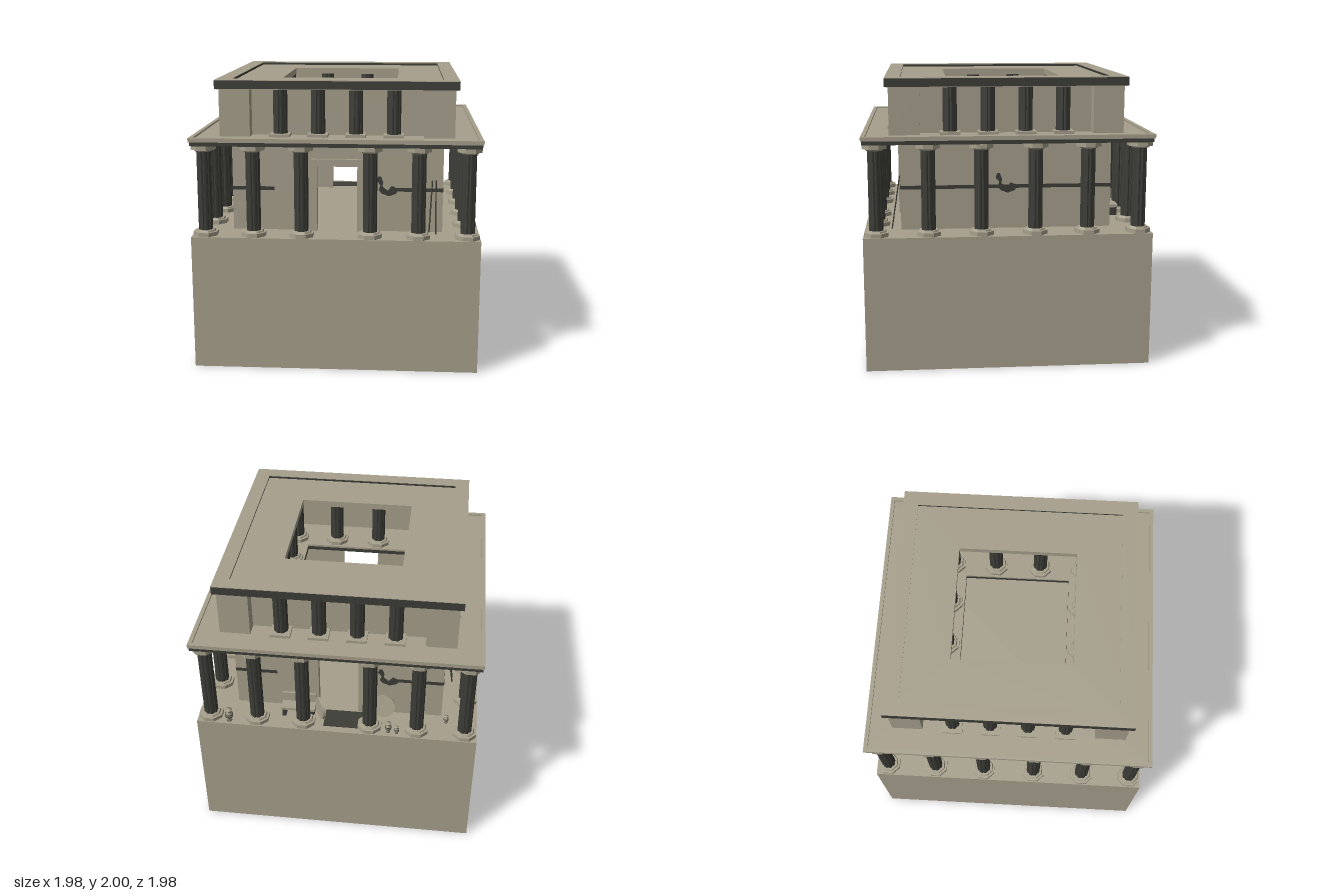
import * as THREE from 'three';

const stone = new THREE.MeshStandardMaterial({ color: 0xa69f8b });
stone.name = 'stone';
const dark = new THREE.MeshStandardMaterial({ color: 0x3c3d37 });
dark.name = 'darkPaint';

function add(parent, name, geo, mat, x = 0, y = 0, z = 0) {
  const m = new THREE.Mesh(geo, mat);
  m.name = name;
  m.position.set(x, y, z);
  parent.add(m);
  return m;
}

// box given by its centre in x and z and its bottom and top in y
function block(parent, name, mat, w, d, y0, y1, x = 0, z = 0) {
  return add(parent, name, new THREE.BoxGeometry(w, y1 - y0, d), mat, x, (y0 + y1) / 2, z);
}

const rectPoints = (x0, y0, x1, y1) =>
  [[x0, y0], [x1, y0], [x1, y1], [x0, y1]].map(([x, y]) => new THREE.Vector2(x, y));

function extrude(shape, depth) {
  return new THREE.ExtrudeGeometry(shape, { depth, bevelEnabled: false });
}

// square ring lying flat, from half-width "inner" to "outer"
function ring(parent, name, mat, outer, inner, y0, y1) {
  const s = new THREE.Shape(rectPoints(-outer, -outer, outer, outer));
  s.holes.push(new THREE.Path(rectPoints(-inner, -inner, inner, inner)));
  return add(parent, name, extrude(s, y1 - y0).rotateX(-Math.PI / 2), mat, 0, y0, 0);
}

function octagon(r, r2, h) {
  const g = new THREE.CylinderGeometry(r2, r, h, 8).rotateY(Math.PI / 8).toNonIndexed();
  g.computeVertexNormals();
  return g;
}

// fluted shaft as a notched polygon
function shaft(r, h) {
  const pts = [];
  for (let i = 0; i < 32; i++) {
    const a = (i / 32) * Math.PI * 2, q = i % 4 === 0 ? r * 0.88 : r;
    pts.push(new THREE.Vector2(Math.cos(a) * q, Math.sin(a) * q));
  }
  return extrude(new THREE.Shape(pts), h).rotateX(-Math.PI / 2);
}

function roundColumn(parent, name, x, z, y0, y1, capital) {
  const g = new THREE.Group();
  g.name = name;
  g.position.set(x, 0, z);
  add(g, 'columnBase', octagon(0.088, 0.088, 0.028), stone, 0, y0 + 0.014, 0);
  add(g, 'columnBaseRing', octagon(0.072, 0.066, 0.012), stone, 0, y0 + 0.034, 0);
  add(g, 'columnShaft', shaft(0.049, y1 - y0), dark, 0, y0, 0);
  if (capital) {
    add(g, 'capitalRing', octagon(0.058, 0.072, 0.015), stone, 0, y1 - 0.036, 0);
    add(g, 'capital', octagon(0.088, 0.088, 0.03), stone, 0, y1 - 0.015, 0);
  }
  parent.add(g);
}

function vase(parent, x, z, h) {
  const prof = [[0, 0], [0.2, 0], [0.13, 0.1], [0.28, 0.42], [0.29, 0.6], [0.13, 0.8], [0.25, 1], [0, 1]];
  const g = new THREE.Group();
  g.name = 'vase';
  g.position.set(x, 0.94, z);
  add(g, 'vaseBody', new THREE.LatheGeometry(prof.map(([r, y]) => new THREE.Vector2(r * h, y * h)), 12), stone);
  for (const [y, r] of [[0.42, 0.285], [0.6, 0.295], [0.8, 0.14]])
    add(g, 'vaseStripe', new THREE.CylinderGeometry(r * h, r * h, 0.07 * h, 12), dark, 0, y * h, 0);
  parent.add(g);
}

// straight pole between two points
function pole(parent, name, a, b, r) {
  const path = new THREE.LineCurve3(new THREE.Vector3(...a), new THREE.Vector3(...b));
  add(parent, name, new THREE.TubeGeometry(path, 1, r, 6), dark);
}

// painted curved figure
function motif() {
  const pts = [[-0.075, 0.06], [-0.065, 0.09], [-0.045, 0.09], [-0.03, 0.05], [-0.035, 0.02], [0, -0.01],
    [0.03, 0.025], [0.075, 0.005], [0.06, -0.03], [0.01, -0.048], [-0.04, -0.03], [-0.06, -0.005], [-0.05, 0.03]];
  return extrude(new THREE.Shape(pts.map(([x, y]) => new THREE.Vector2(x, y)).reverse()), 0.004);
}

export function createModel() {
  const model = new THREE.Group();
  model.name = 'columnedHouse';

  // hollow base, open underneath
  ring(model, 'baseWalls', stone, 0.988, 0.98, 0, 0.93);
  block(model, 'groundFloor', stone, 1.976, 1.976, 0.93, 0.94);

  // four faces, each built facing front and turned about the centre
  for (let k = 0; k < 4; k++) {
    const f = new THREE.Group();
    f.name = ['frontFace', 'leftFace', 'backFace', 'rightFace'][k];
    f.rotation.y = (k * Math.PI) / 2;
    model.add(f);
    const hasDoor = k % 2 === 0;

    // lower wall with its doorway
    const half = hasDoor ? 0.735 : 0.705;
    const wall = new THREE.Shape(rectPoints(-half, 0.9, half, 1.57));
    if (hasDoor) wall.holes.push(new THREE.Path(rectPoints(-0.14, 0.94, 0.14, 1.4)));
    add(f, 'lowerWall', extrude(wall, 0.03), stone, 0, 0, 0.705);
    if (hasDoor) {
      const frame = new THREE.Shape([[-0.18, 0.94], [-0.14, 0.94], [-0.14, 1.4], [0.14, 1.4], [0.14, 0.94],
        [0.18, 0.94], [0.18, 1.45], [-0.18, 1.45]].map(([x, y]) => new THREE.Vector2(x, y)));
      add(f, 'doorFrame', extrude(frame, 0.055), stone, 0, 0, 0.705);
      block(f, 'wallStripe', dark, 0.295, 0.006, 1.225, 1.25, -0.5875, 0.735);
      block(f, 'wallStripe', dark, 0.325, 0.006, 1.225, 1.25, 0.5725, 0.735);
    } else {
      block(f, 'wallStripe', dark, 1.47, 0.006, 1.225, 1.25, 0, 0.735);
    }
    add(f, 'paintedFigure', motif(), dark, hasDoor ? 0.35 : 0, 1.24, 0.736);

    // colonnade; the far corner column belongs to the next face
    const row = hasDoor ? [-0.9, -0.565, -0.235, 0.235, 0.565] : [-0.9, -0.545, -0.185, 0.185, 0.545];
    for (const x of row) roundColumn(f, 'outerColumn', x, 0.9, 0.94, 1.57, true);

    // upper storey: corner pier, recessed wall, half-hidden columns
    block(f, 'cornerPier', stone, 0.21, 0.21, 1.61, 1.94, -0.7, 0.7);
    block(f, 'upperWall', stone, 1.2, 0.03, 1.61, 1.94, 0, 0.69);
    for (const x of [-0.39, -0.13, 0.13, 0.39]) {
      add(f, 'upperColumn', shaft(0.049, 0.32), dark, x, 1.62, 0.75);
      block(f, 'upperColumnBase', stone, 0.14, 0.14, 1.61, 1.632, x, 0.755);
    }

    // columns around the inner court
    for (const x of [-0.47, -0.16, 0.16]) roundColumn(f, 'courtColumn', x, 0.47, 1.61, 1.94, false);
  }

  // lower roof with raised rim
  ring(model, 'lowerRoofTrim', dark, 0.98, 0.375, 1.57, 1.597);
  ring(model, 'lowerRoofSlab', stone, 0.988, 0.375, 1.597, 1.612);
  ring(model, 'lowerRoofRim', stone, 0.988, 0.96, 1.612, 1.625);

  // upper roof: dark edge, light top, sunken middle
  ring(model, 'upperRoofSlab', stone, 0.82, 0.41, 1.935, 1.98);
  ring(model, 'upperRoofEdge', dark, 0.83, 0.728, 1.94, 1.996);
  ring(model, 'upperRoofRim', stone, 0.83, 0.725, 1.996, 2);

  // spears leaning on the front and right walls
  for (const d of [0, 0.035]) {
    pole(model, 'spear', [0.64 + d * 1.4, 0.94, 0.8], [0.66 + d * 0.7, 1.31, 0.742], 0.005);
    pole(model, 'spear', [-0.8, 0.94, -0.35 + d * 1.4], [-0.742, 1.31, -0.33 + d], 0.005);
  }

  // furnishings on the back terrace
  block(model, 'rug', dark, 0.34, 0.17, 0.94, 0.943, -0.08, -0.85);
  vase(model, 0.76, -0.95, 0.1);
  vase(model, -0.37, -0.94, 0.08);
  vase(model, -0.43, -0.95, 0.06);
  vase(model, -0.77, -0.8, 0.06);
  const shield = add(model, 'shield', new THREE.CylinderGeometry(0.085, 0.085, 0.012, 20), stone, -0.32, 1.025, -0.775);
  shield.rotation.x = Math.PI / 2 + 0.25;
  const disc = add(model, 'couchEnd', new THREE.CylinderGeometry(0.08, 0.08, 0.02, 20), stone, 0.12, 1.02, -0.84);
  disc.rotation.set(0, 0.5, Math.PI / 2);
  block(model, 'couchSeat', stone, 0.24, 0.09, 1.0, 1.02, 0.28, -0.82);
  block(model, 'couchBack', stone, 0.24, 0.015, 1.02, 1.09, 0.28, -0.775);
  for (const x of [0.18, 0.38]) block(model, 'couchLeg', dark, 0.025, 0.08, 0.94, 1.0, x, -0.82);

  return model;
}
